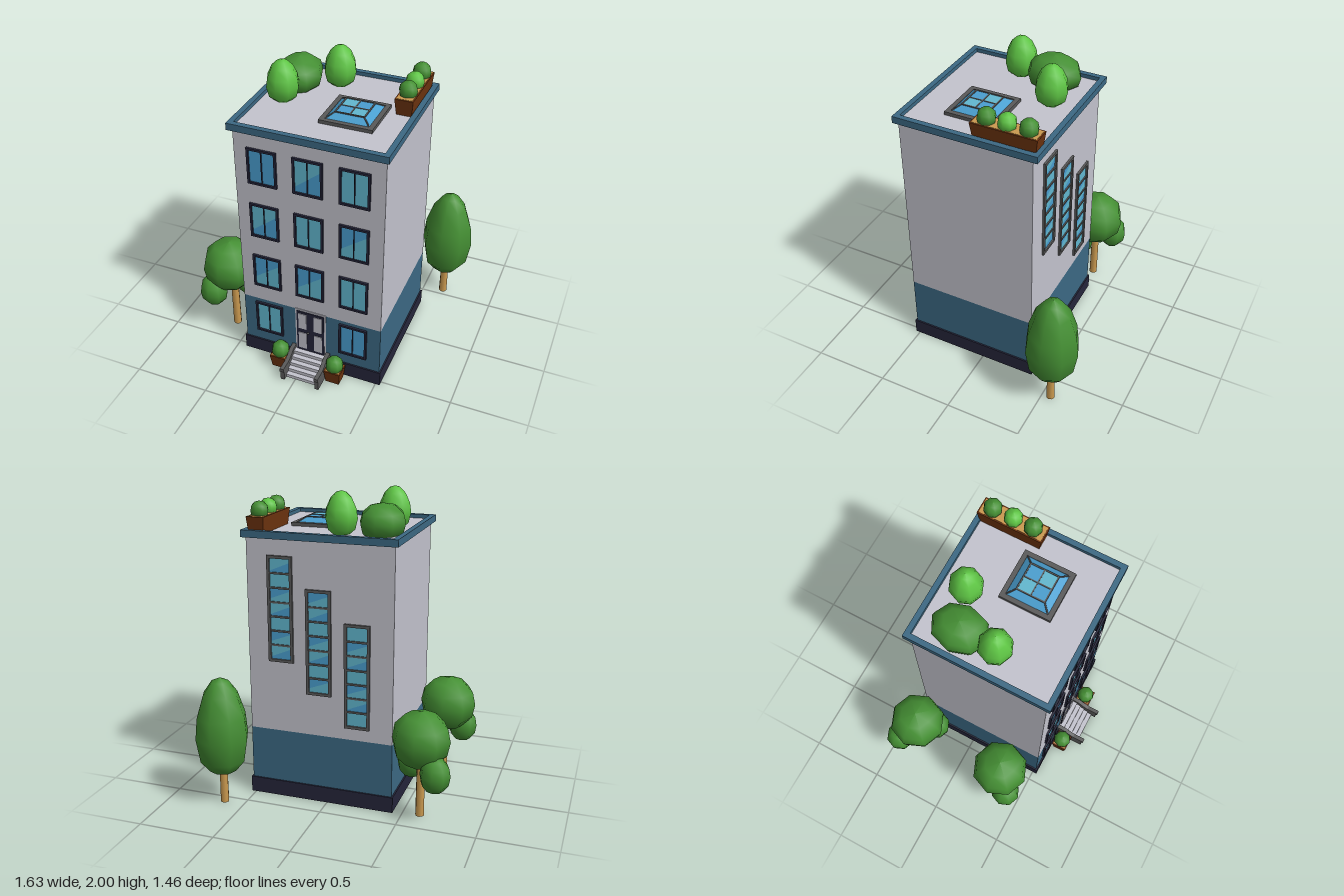
import * as THREE from 'three';

const paint = (name, color, side = THREE.FrontSide) => {
  const m = new THREE.MeshStandardMaterial({ color, side });
  m.name = name;
  return m;
};

export function createModel() {
  const root = new THREE.Group();
  root.name = 'townHouse';
  const wall = paint('paleWall', 0xc4c4ce);
  const teal = paint('tealPaint', 0x3c6984);
  const navy = paint('navyTrim', 0x25253a);
  const grey = paint('darkGrey', 0x5a5a5a);
  const glass = paint('blueGlass', 0x4a9fd0, THREE.DoubleSide);
  const shine = paint('lightGlass', 0x62b8d0, THREE.DoubleSide);
  const brown = paint('brownPot', 0x703510);
  const wood = paint('tanWood', 0xcb9a50);
  const leaf = paint('darkLeaf', 0x459034);
  const lime = paint('lightLeaf', 0x5ec544);

  const add = (parent, name, geo, mat, x = 0, y = 0, z = 0) => {
    const m = new THREE.Mesh(geo, mat);
    m.name = name;
    m.position.set(x, y, z);
    parent.add(m);
    return m;
  };
  const group = (name, parent = root) => {
    const g = new THREE.Group();
    g.name = name;
    parent.add(g);
    return g;
  };
  // Box given by its limits
  const block = (p, name, mat, x0, x1, y0, y1, z0, z1) =>
    add(p, name, new THREE.BoxGeometry(x1 - x0, y1 - y0, z1 - z0), mat,
      (x0 + x1) / 2, (y0 + y1) / 2, (z0 + z1) / 2);
  const polygon = (pts) => new THREE.Shape(pts.map(([x, y]) => new THREE.Vector2(x, y)));
  const rect = (w, h) => [[-w / 2, -h / 2], [w / 2, -h / 2], [w / 2, h / 2], [-w / 2, h / 2]];
  // Rectangular frame, border t, extruded by d
  const frameGeo = (w, h, t, d) => {
    const s = polygon(rect(w, h));
    s.holes.push(polygon(rect(w - 2 * t, h - 2 * t)));
    return new THREE.ExtrudeGeometry(s, { depth: d, bevelEnabled: false });
  };
  // Hollow horizontal band of the building
  const band = (p, name, mat, x0, x1, z0, z1, t, y0, y1) =>
    add(p, name, frameGeo(x1 - x0, z1 - z0, t, y1 - y0).rotateX(-Math.PI / 2), mat,
      (x0 + x1) / 2, y0, (z0 + z1) / 2);

  // Building shell, open underneath
  const house = group('building');
  band(house, 'plinth', navy, -0.44, 0.53, -0.365, 0.53, 0.03, 0, 0.105);
  band(house, 'groundFloorWall', teal, -0.43, 0.52, -0.355, 0.52, 0.01, 0.105, 0.46);
  band(house, 'upperWall', wall, -0.43, 0.52, -0.355, 0.52, 0.01, 0.46, 1.715);
  block(house, 'roof', wall, -0.43, 0.52, 1.712, 1.735, -0.365, 0.52);
  band(house, 'parapet', teal, -0.455, 0.54, -0.39, 0.55, 0.035, 1.715, 1.76);

  // Pane with an optional reflection: 1 full, 2 upper left, 3 lower right
  const pane = (p, w, h, y, kind) => {
    add(p, 'glass', new THREE.PlaneGeometry(w, h), kind === 1 ? shine : glass, 0, y, 0.003);
    const a = w / 2, b = h / 2;
    const cuts = {
      2: [[-a, -b * 0.7], [a, b * 0.5], [a, b], [-a, b]],
      3: [[-a, -b], [a, -b], [a, b * 0.6], [-a, -b * 0.5]],
    };
    if (cuts[kind]) add(p, 'reflection', new THREE.ShapeGeometry(polygon(cuts[kind])), shine, 0, y, 0.005);
  };

  // Front windows
  const kinds = [[1, 0, 0], [3, 3, 1], [2, 1, 3], [0, 2, 1]];
  kinds.forEach((row, r) => row.forEach((kind, c) => {
    if (r === 0 && c === 1) return;
    const win = group('frontWindow');
    win.position.set([-0.25, 0.0425, 0.335][c], [0.312, 0.703, 1.097, 1.488][r], 0.52);
    add(win, 'windowFrame', frameGeo(0.19, 0.246, 0.014, 0.014), navy);
    pane(win, 0.164, 0.22, 0, kind);
    block(win, 'mullion', navy, -0.002, 0.002, -0.11, 0.11, 0, 0.014);
  }));

  // Tall stepped windows on the back
  [[0.3, 1.27], [0.05, 1.075], [-0.2, 0.88]].forEach(([x, y], i) => {
    const win = group('stairWindow');
    win.position.set(x, y, -0.355);
    win.rotation.y = Math.PI;
    add(win, 'windowFrame', frameGeo(0.165, 0.68, 0.018, 0.014), grey);
    const step = 0.644 / 7;
    for (let k = 0; k < 7; k++) {
      const cy = -0.322 + step * (k + 0.5);
      pane(win, 0.13, step, cy, [2, 3, 1][(k + i) % 3]);
      if (k) block(win, 'bar', grey, -0.066, 0.066, cy - step / 2 - 0.006, cy - step / 2 + 0.006, 0, 0.011);
    }
  });

  // Double door
  const door = group('door');
  door.position.set(0.0425, 0, 0);
  block(door, 'doorSurround', wall, -0.107, 0.107, 0.105, 0.465, 0.505, 0.524);
  block(door, 'doorLeaves', navy, -0.095, 0.095, 0.12, 0.452, 0.5, 0.53);
  for (const s of [-1, 1]) {
    for (const [y0, y1] of [[0.14, 0.275], [0.31, 0.435]])
      block(door, 'doorPanel', wall, s * 0.054 - 0.028, s * 0.054 + 0.028, y0, y1, 0.497, 0.534);
  }
  add(door, 'doorKnob', new THREE.SphereGeometry(0.008, 8, 6), grey, -0.015, 0.285, 0.537);

  // Steps and side walls
  const stairs = group('entranceSteps');
  for (let i = 0; i < 5; i++)
    block(stairs, 'step', wall, -0.065, 0.15, 0, 0.024 * (i + 1), 0.52, 0.69 - 0.032 * i);
  const cheek = polygon([[0.52, 0], [0.72, 0], [0.72, 0.075], [0.73, 0.075], [0.73, 0.1],
    [0.65, 0.1], [0.61, 0.115], [0.57, 0.14], [0.52, 0.145]]);
  for (const x of [-0.065, 0.176]) {
    const g = new THREE.ExtrudeGeometry(cheek, { depth: 0.027, bevelEnabled: false });
    add(stairs, 'stairSideWall', g.rotateY(-Math.PI / 2), grey, x);
  }

  // Foliage from a turned profile, eight sided
  const egg = [[0, 0], [0.5, 0.01], [0.85, 0.13], [1, 0.38], [0.92, 0.6], [0.65, 0.83], [0.32, 0.96], [0, 1]];
  const ball = [[0, 0], [0.55, 0.06], [0.9, 0.25], [1, 0.5], [0.9, 0.74], [0.55, 0.93], [0, 1]];
  const foliage = (p, name, profile, mat, x, y0, y1, z, rx, rz = rx) => {
    const g = new THREE.LatheGeometry(profile.map(([r, y]) => new THREE.Vector2(r, y)), 8);
    add(p, name, g, mat, x, y0, z).scale.set(rx, y1 - y0, rz);
  };

  // Tapered box planter with soil
  const planter = (p, w, d, y0, y1, x, z) => {
    const g = new THREE.BoxGeometry(w, y1 - y0, d);
    const pos = g.attributes.position;
    for (let i = 0; i < pos.count; i++) if (pos.getY(i) < 0) {
      pos.setX(i, pos.getX(i) - Math.sign(pos.getX(i)) * 0.01);
      pos.setZ(i, pos.getZ(i) - Math.sign(pos.getZ(i)) * 0.014);
    }
    g.computeVertexNormals();
    add(p, 'planterBox', g, brown, x, (y0 + y1) / 2, z);
    block(p, 'soil', wood, x - w / 2 + 0.009, x + w / 2 - 0.009, y1 - 0.005, y1 + 0.002,
      z - d / 2 + 0.009, z + d / 2 - 0.009);
  };

  for (const x of [-0.15, 0.235]) {
    const pot = group('doorPot');
    planter(pot, 0.112, 0.106, 0, 0.097, x, 0.588);
    foliage(pot, 'potBush', ball, leaf, x, 0.07, 0.19, 0.588, 0.06);
  }

  // Roof garden
  const garden = group('roofGarden');
  planter(garden, 0.115, 0.425, 1.735, 1.84, 0.45, -0.16);
  [[-0.295, leaf], [-0.16, lime], [-0.03, leaf]].forEach(([z, mat]) =>
    foliage(garden, 'planterBush', ball, mat, 0.45, 1.81, 1.928, z, 0.058));
  foliage(garden, 'roofShrub', ball, leaf, -0.28, 1.69, 1.925, -0.11, 0.145, 0.18);
  foliage(garden, 'roofBush', egg, lime, -0.045, 1.735, 2, -0.2, 0.105);
  foliage(garden, 'roofBush', egg, lime, -0.29, 1.735, 2, 0.12, 0.105);

  // Skylight: frame, hipped glass and bars
  const sky = group('skylight');
  sky.position.set(0.185, 1.735, 0.14);
  add(sky, 'skylightFrame', frameGeo(0.335, 0.335, 0.03, 0.022).rotateX(-Math.PI / 2), grey);
  const hip = new THREE.CylinderGeometry(0.09 * Math.SQRT2, 0.14 * Math.SQRT2, 0.035, 4, 1, true);
  add(sky, 'slopedGlass', hip.toNonIndexed().rotateY(Math.PI / 4), glass, 0, 0.0335, 0).geometry.computeVertexNormals();
  for (const sx of [-1, 1]) for (const sz of [-1, 1]) {
    add(sky, 'topGlass', new THREE.PlaneGeometry(0.09, 0.09).rotateX(-Math.PI / 2),
      sx === sz ? shine : glass, sx * 0.045, 0.051, sz * 0.045);
    const rib = new THREE.TubeGeometry(new THREE.LineCurve3(
      new THREE.Vector3(sx * 0.14, 0.018, sz * 0.14), new THREE.Vector3(sx * 0.09, 0.051, sz * 0.09)), 1, 0.005, 4);
    add(sky, 'hipBar', rib, grey);
  }
  add(sky, 'topRim', frameGeo(0.19, 0.19, 0.009, 0.006).rotateX(-Math.PI / 2), grey, 0, 0.049, 0);
  block(sky, 'crossBar', grey, -0.14, 0.14, 0.047, 0.054, -0.004, 0.004).scale.x = 0.66;
  block(sky, 'crossBar', grey, -0.004, 0.004, 0.047, 0.054, -0.14, 0.14).scale.z = 0.66;

  // Trees
  const trunk = (p, x, z, h) =>
    add(p, 'trunk', new THREE.CylinderGeometry(0.026, 0.028, h, 8), wood, x, h / 2, z);
  const tall = group('tallTree');
  trunk(tall, 0.638, -0.555, 0.26);
  foliage(tall, 'crown', egg, leaf, 0.638, 0.22, 0.855, -0.555, 0.175);
  for (const [x, z, s] of [[-0.605, -0.33, -1], [-0.63, 0.33, 1]]) {
    const tree = group('clumpTree');
    trunk(tree, -0.61, z, 0.42);
    foliage(tree, 'crown', ball, leaf, x, 0.34, 0.7, z, 0.187);
    foliage(tree, 'lowerClump', ball, leaf, -0.72, 0.22, 0.45, z + s * 0.09, 0.097);
    foliage(tree, 'lowerClump', ball, leaf, -0.53, 0.22, 0.45, z - s * 0.09, 0.097);
  }
  return root;
}
